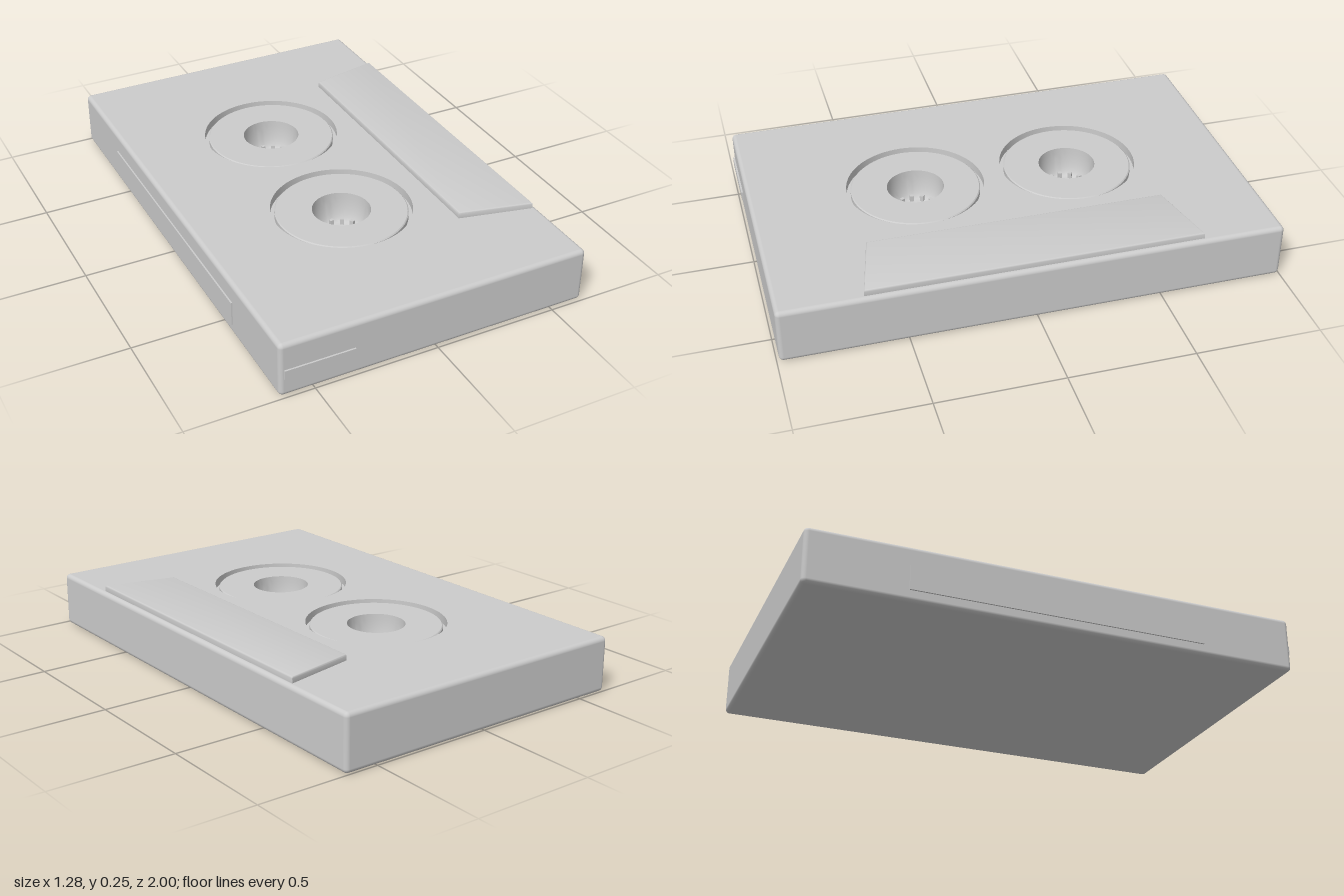
import * as THREE from 'three';
import { toCreasedNormals } from 'three/addons/utils/BufferGeometryUtils.js';

const material = new THREE.MeshStandardMaterial({ color: 0xcccccc });
const H = 0.225, HX = 0.636, HZ = 0.995, R = 0.018; // body height, half sizes, edge radius
const BODY_X = 0.002, BODY_Z = -0.005;
const REELS = [[-0.042, -0.327], [-0.042, 0.318]];
const WELL_R = 0.28;

function add(parent, name, geometry, x = 0, y = 0, z = 0) {
  const mesh = new THREE.Mesh(geometry, material);
  mesh.name = name;
  mesh.position.set(x, y, z);
  parent.add(mesh);
  return mesh;
}

// Rounded rim of the body: a rounded box without its top and bottom faces
function shellGeometry() {
  const seg = 6, loop = [], profile = [];
  for (let c = 0; c < 4; c++) {
    for (let i = 0; i <= seg; i++) {
      loop.push({
        t: (c + i / seg) * Math.PI / 2,
        cx: (c === 0 || c === 3 ? 1 : -1) * (HX - R),
        cz: (c < 2 ? 1 : -1) * (HZ - R),
      });
    }
  }
  for (const top of [0, 1]) {
    for (let i = 0; i <= seg; i++) {
      profile.push({ p: (top - 1 + i / seg) * Math.PI / 2, cy: top ? H - R : R });
    }
  }
  const pos = [], nor = [], idx = [], n = loop.length;
  profile.forEach(({ p, cy }, j) => loop.forEach(({ t, cx, cz }, i) => {
    const nx = Math.cos(p) * Math.cos(t), ny = Math.sin(p), nz = Math.cos(p) * Math.sin(t);
    nor.push(nx, ny, nz);
    pos.push(cx + R * nx, cy + R * ny, cz + R * nz);
    if (j + 1 < profile.length) {
      const a = j * n + i, b = j * n + (i + 1) % n;
      idx.push(a, a + n, b, b, a + n, b + n);
    }
  }));
  const g = new THREE.BufferGeometry();
  g.setAttribute('position', new THREE.Float32BufferAttribute(pos, 3));
  g.setAttribute('normal', new THREE.Float32BufferAttribute(nor, 3));
  g.setIndex(idx);
  return g;
}

// Flat face between the rounded edges
function faceShape() {
  const x = HX - R, z = HZ - R;
  return new THREE.Shape([[-x, -z], [x, -z], [x, z], [-x, z]].map(p => new THREE.Vector2(...p)));
}

// Groove, raised disc and bowl-shaped hub in one profile
function reelGeometry() {
  const profile = [
    [WELL_R, H], [WELL_R, 0.19], [0.263, 0.19], [0.263, 0.212], [0.259, 0.216],
    [0.116, 0.216],
  ];
  for (let i = 1; i <= 8; i++) {
    const a = i / 8 * Math.PI / 2;
    profile.push([0.082 + 0.034 * Math.cos(a), 0.216 - 0.126 * Math.sin(a)]);
  }
  profile.push([0, 0.09]);
  const g = new THREE.LatheGeometry(profile.map(p => new THREE.Vector2(...p)), 72);
  return toCreasedNormals(g, 0.55);
}

export function createModel() {
  const model = new THREE.Group();
  model.name = 'cassette';

  // Body
  const body = new THREE.Group();
  body.name = 'body';
  body.position.set(BODY_X, 0, BODY_Z);
  model.add(body);
  add(body, 'bodySides', shellGeometry());
  add(body, 'bodyBottom', new THREE.ShapeGeometry(faceShape()).rotateX(Math.PI / 2));

  const top = faceShape();
  for (const [x, z] of REELS) {
    const hole = new THREE.Path();
    hole.absarc(x - BODY_X, -(z - BODY_Z), WELL_R, 0, Math.PI * 2, true);
    top.holes.push(hole);
  }
  add(body, 'bodyTop', new THREE.ShapeGeometry(top, 36).rotateX(-Math.PI / 2), 0, H, 0);

  // Reels with a ring of drive teeth at the bottom of each hub
  const reelGeo = reelGeometry();
  const toothGeo = new THREE.BoxGeometry(0.014, 0.03, 0.016);
  for (const [x, z] of REELS) {
    const reel = new THREE.Group();
    reel.name = 'reel';
    reel.position.set(x, 0, z);
    model.add(reel);
    add(reel, 'reelDisc', reelGeo);
    for (let i = 0; i < 12; i++) {
      const a = i / 12 * Math.PI * 2;
      add(reel, 'hubTooth', toothGeo, 0.083 * Math.cos(a), 0.1, 0.083 * Math.sin(a)).rotation.y = -a;
    }
  }

  // Raised trapezoid panel along the left edge
  const bevel = 0.007;
  const panelShape = new THREE.Shape([
    [0.325 + bevel, -0.595 + bevel], [0.62 - bevel, -0.66 + bevel],
    [0.62 - bevel, 0.67 - bevel], [0.325 + bevel, 0.605 - bevel],
  ].map(p => new THREE.Vector2(...p)));
  const panel = new THREE.ExtrudeGeometry(panelShape, {
    depth: 0.026, bevelEnabled: true, bevelSize: bevel, bevelThickness: bevel, bevelSegments: 3,
  }).rotateX(-Math.PI / 2);
  add(model, 'raisedPanel', toCreasedNormals(panel, 0.6), 0, 0.25 - 0.026 - bevel, 0);

  // Thin plates on the front and right sides
  add(model, 'frontPlate', new THREE.BoxGeometry(0.28, 0.038, 0.02), -0.476, 0.096, 0.987);
  add(model, 'sidePlate', new THREE.BoxGeometry(0.02, 0.1, 1.2), -0.63, 0.095, -0.005);

  return model;
}
